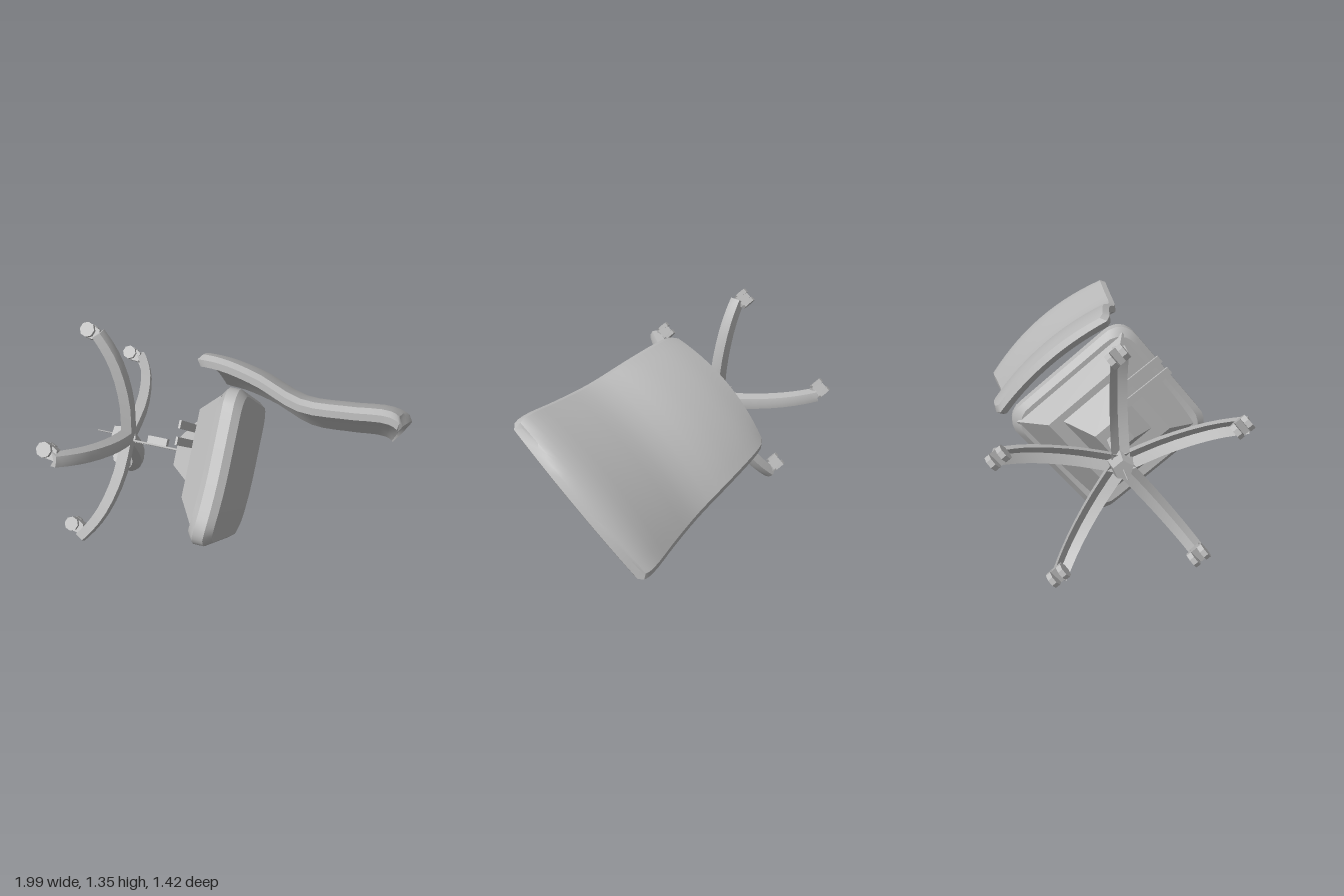
import * as THREE from 'three';
import { toCreasedNormals } from 'three/addons/utils/BufferGeometryUtils.js';

const V = (x, y, z) => new THREE.Vector3(x, y, z);

// Moves every vertex of a box (coordinates -1..1) by a rule returning a new point.
function shapedBox(segX, segY, segZ, rule, crease = 0.5) {
  const geo = new THREE.BoxGeometry(2, 2, 2, segX, segY, segZ);
  const p = geo.attributes.position;
  for (let i = 0; i < p.count; i++) {
    const v = rule(p.getX(i), p.getY(i), p.getZ(i));
    p.setXYZ(i, v.x, v.y, v.z);
  }
  return toCreasedNormals(geo, crease);
}

// Tapered block: [half x, half z, centre z] at the lower and upper heights.
const frustum = (y0, lo, y1, hi) => shapedBox(1, 1, 1, (x, y, z) => {
  const s = y < 0 ? lo : hi;
  return V(x * s[0], y < 0 ? y0 : y1, s[2] + z * s[1]);
});

// Maps a point of the square -1..1 into a rectangle with corners of radius r.
function roundedRect(u, w, halfU, halfW, r) {
  const x = u * halfU, z = w * halfW;
  const ix = THREE.MathUtils.clamp(x, r - halfU, halfU - r);
  const iz = THREE.MathUtils.clamp(z, r - halfW, halfW - r);
  const dx = x - ix, dz = z - iz;
  const k = Math.max(Math.abs(dx), Math.abs(dz)) / (Math.hypot(dx, dz) || 1);
  return [ix + dx * k, iz + dz * k];
}

export function createModel() {
  const grey = new THREE.MeshStandardMaterial({ color: 0xb8b8b8 });
  grey.name = 'plain grey';
  const model = new THREE.Group();
  model.name = 'officeChair';
  const chair = new THREE.Group(); // upright chair: y up, z forward
  chair.name = 'tippedChair';
  model.add(chair);

  const add = (parent, name, geo, x = 0, y = 0, z = 0) => {
    const m = new THREE.Mesh(geo, grey);
    m.name = name;
    m.position.set(x, y, z);
    parent.add(m);
    return m;
  };

  // Seat and back share a small sideways offset
  const upper = new THREE.Group();
  upper.name = 'seatAndBack';
  upper.position.x = -0.02;
  chair.add(upper);

  // Seat cushion: rounded corners, bevelled rim, front edge dipping a little
  const seatLevels = [0.82, 0.855, 0.915, 0.955];
  const seatInsets = [0.035, 0, 0, 0.03];
  add(upper, 'seatCushion', shapedBox(18, 3, 18, (x, y, z) => {
    const level = Math.round((y + 1) * 1.5);
    const inset = seatInsets[level];
    const [sx, sz] = roundedRect(x, z, 0.45 - inset, 0.435 - inset, 0.12);
    return V(sx, seatLevels[level] - 0.025 * Math.max(0, z) ** 2, 0.06 + sz);
  }));

  // Sloping shell below the cushion, and the tilt mechanism
  add(upper, 'seatShell', frustum(0.69, [0.25, 0.25, 0.02], 0.83, [0.4, 0.38, 0.06]));
  add(upper, 'tiltMechanism', frustum(0.56, [0.08, 0.08, 0.03], 0.7, [0.18, 0.2, 0.0]));

  // Backrest: height, depth and half width along its profile
  const profile = new THREE.CatmullRomCurve3([
    [0.635, -0.485, 0.41], [0.8, -0.475, 0.425], [1.0, -0.43, 0.44], [1.25, -0.34, 0.46],
    [1.5, -0.345, 0.48], [1.72, -0.36, 0.5], [1.84, -0.33, 0.5],
  ].map(a => V(...a)));
  add(upper, 'backrest', shapedBox(14, 20, 2, (x, y, z) => {
    const p = profile.getPoint((y + 1) / 2);
    const face = Math.abs(z) > 0.5;
    const endRound = 1 - 0.06 * Math.abs(y) ** 16;
    const width = p.z * endRound - (face ? 0.02 : 0);
    const crown = (y > 0 ? 0.055 : 0.02) * x * x * y ** 3;
    const lip = face ? 0.02 * Math.sign(y) * Math.abs(y) ** 12 : 0;
    const bow = (0.06 + 0.01 * y) * (1 - x * x);
    return V(x * width, p.x - crown - lip, p.y - bow + z * 0.034);
  }));

  // Thin adjusting levers below one side of the seat
  for (const z of [-0.03, -0.12]) {
    const lever = add(upper, 'lever', new THREE.BoxGeometry(0.32, 0.012, 0.045), -0.31, 0.665, z);
    lever.rotation.z = 0.06;
  }

  // Slim column with its collar and gusset
  const column = new THREE.Group();
  column.name = 'column';
  column.position.z = 0.02;
  chair.add(column);
  add(column, 'columnRod', new THREE.CylinderGeometry(0.007, 0.007, 0.4, 8), 0, 0.39, 0);
  add(column, 'columnCollar', new THREE.BoxGeometry(0.045, 0.12, 0.045), -0.012, 0.415, -0.028);
  const fin = new THREE.Shape([new THREE.Vector2(0, 0.24), new THREE.Vector2(0.07, 0.35), new THREE.Vector2(0, 0.35)]);
  add(column, 'columnGusset', new THREE.ExtrudeGeometry(fin, { depth: 0.008, bevelEnabled: false }));
  add(column, 'bottomSpindle', new THREE.CylinderGeometry(0.004, 0.004, 0.12, 6), 0, 0.085, -0.02);

  // Five-pointed base
  const base = new THREE.Group();
  base.name = 'starBase';
  chair.add(base);
  add(base, 'hub', toCreasedNormals(new THREE.CylinderGeometry(0.075, 0.055, 0.115, 5), 0.5), 0, 0.193, 0);

  // Arched legs, hollowed along the underside
  const arch = new THREE.CatmullRomCurve3([
    [0.02, 0.225], [0.2, 0.225], [0.36, 0.2], [0.5, 0.155], [0.6, 0.1], [0.655, 0.06],
  ].map(([r, h]) => V(0, h, r)));
  const legGeo = shapedBox(2, 1, 9, (x, y, z) => {
    const t = (z + 1) / 2;
    const p = arch.getPoint(t), d = arch.getTangent(t);
    const half = (0.048 - 0.008 * t) * (y > 0 ? 0.75 : 1);
    const ridge = x !== 0 ? 0 : y > 0 ? 0.006 : 0.03;
    const off = y * (0.031 - 0.005 * t) + ridge;
    return V(x * half, p.y + d.z * off, p.z - d.y * off);
  });
  const wheelGeo = toCreasedNormals(new THREE.CylinderGeometry(0.043, 0.043, 0.028, 8).rotateZ(Math.PI / 2), 0.5);
  const hoodGeo = frustum(0.0, [0.016, 0.042, 0], 0.07, [0.034, 0.03, 0.02]);

  for (let i = 0; i < 5; i++) {
    const a = i * Math.PI * 2 / 5;
    add(base, 'baseLeg', legGeo).rotation.y = a;
    // Twin-wheel caster, trailing behind the end of its leg
    const caster = new THREE.Group();
    caster.name = 'caster';
    caster.position.set(Math.sin(a) * 0.62, 0, Math.cos(a) * 0.62 - 0.035);
    base.add(caster);
    add(caster, 'casterHood', hoodGeo);
    for (const s of [-1, 1]) add(caster, 'casterWheel', wheelGeo, s * 0.033, 0, 0);
  }

  // Lay the chair over on its side
  const up = V(0.99, -0.043, 0.128).normalize();
  const front = V(0, -0.77, 0.64);
  front.addScaledVector(up, -front.dot(up)).normalize();
  const side = up.clone().cross(front);
  chair.quaternion.setFromRotationMatrix(new THREE.Matrix4().makeBasis(side, up, front));
  chair.position.set(-0.88, 0.65, -0.045);

  // Stand on the ground, centred
  model.updateMatrixWorld(true);
  const box = new THREE.Box3().setFromObject(model, true);
  const mid = box.getCenter(V(0, 0, 0));
  chair.position.sub(V(mid.x, box.min.y, mid.z));
  return model;
}
